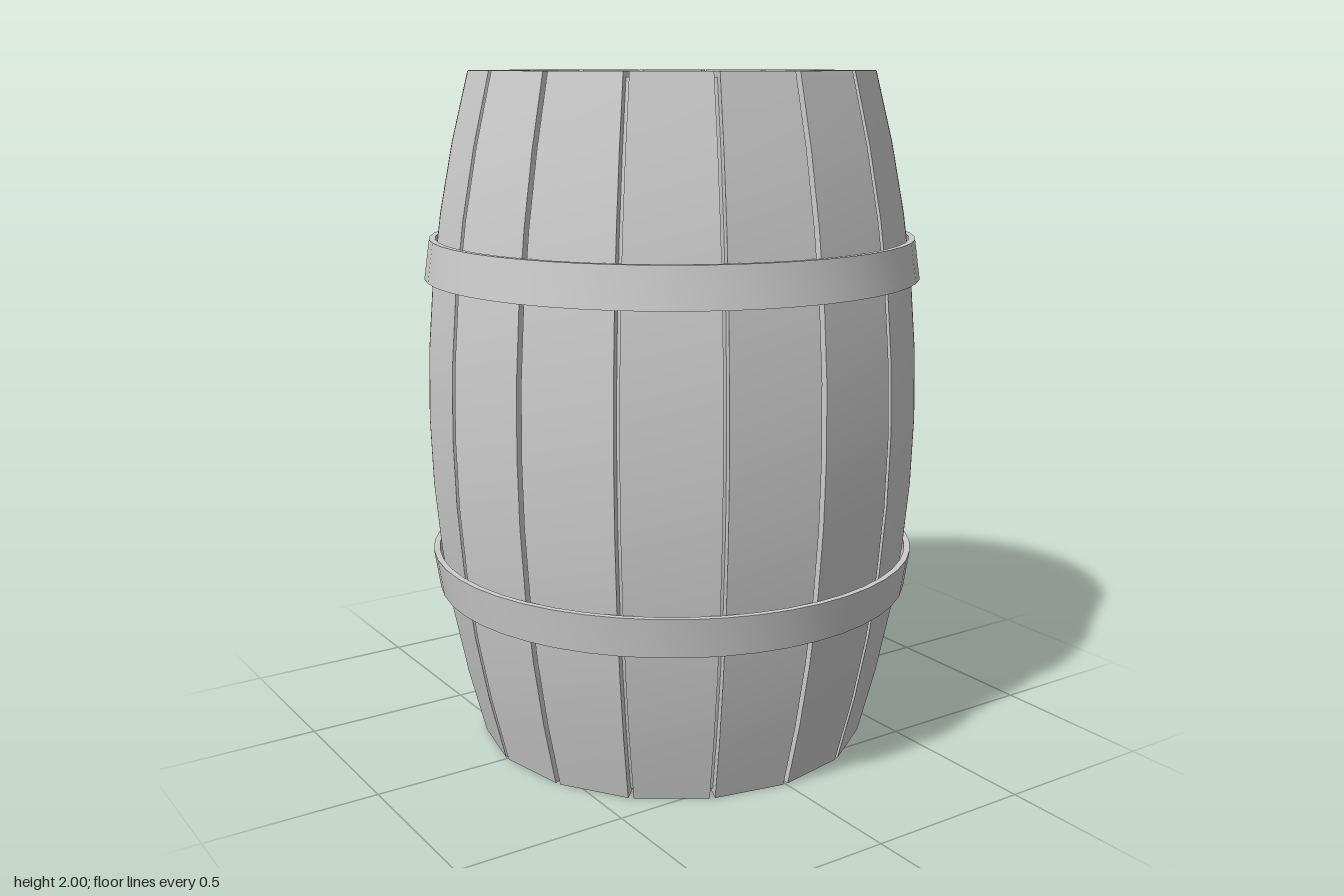
import * as THREE from 'three';
import { toCreasedNormals } from 'three/addons/utils/BufferGeometryUtils.js';

const STAVES = 16, ROWS = 10, HALF = Math.PI / STAVES;
const GAP = 0.008, THICK = 0.07;
const material = new THREE.MeshStandardMaterial({ color: 0xcccccc });

// Bulging outer radius of the barrel at height y
const radiusAt = (y) => 0.73 - 0.14 * (y - 1) ** 2;

// One curved plank facing +z: flat across, smooth along its length
function staveGeometry() {
  const section = (y) => {
    const corner = (r, side) => [side * (r * Math.sin(HALF) - GAP), y, r * Math.cos(HALF)];
    const ro = radiusAt(y), ri = ro - THICK;
    return [corner(ro, -1), corner(ro, 1), corner(ri, 1), corner(ri, -1)];
  };
  const rows = Array.from({ length: ROWS + 1 }, (_, i) => section((2 * i) / ROWS));
  const positions = [], index = [];
  // Four long faces, each with its own vertices
  for (let k = 0; k < 4; k++) {
    const base = positions.length / 3;
    rows.forEach((row) => positions.push(...row[k], ...row[(k + 1) % 4]));
    for (let i = 0; i < ROWS; i++) {
      const a = base + i * 2;
      index.push(a, a + 1, a + 3, a, a + 3, a + 2);
    }
  }
  // End caps
  const top = positions.length / 3;
  rows[ROWS].forEach((p) => positions.push(...p));
  rows[0].forEach((p) => positions.push(...p));
  index.push(top, top + 1, top + 2, top, top + 2, top + 3);
  index.push(top + 4, top + 6, top + 5, top + 4, top + 7, top + 6);

  const geometry = new THREE.BufferGeometry();
  geometry.setAttribute('position', new THREE.Float32BufferAttribute(positions, 3));
  geometry.setIndex(index);
  geometry.computeVertexNormals();
  return geometry;
}

// Thin tapered band; the wide edge faces the middle of the barrel
function hoopGeometry() {
  const profile = [[0.73, 1.41], [0.713, 1.525], [0.695, 1.525], [0.712, 1.41], [0.73, 1.41]];
  const points = profile.map(([r, y]) => new THREE.Vector2(r, y - 1));
  return toCreasedNormals(new THREE.LatheGeometry(points, 48), 0.6);
}

export function createModel() {
  const barrel = new THREE.Group();
  barrel.name = 'barrel';
  const add = (name, geometry, mat = material) => {
    const mesh = new THREE.Mesh(geometry, mat);
    mesh.name = name;
    barrel.add(mesh);
    return mesh;
  };

  // Ring of staves, with a seam on each axis
  const stave = staveGeometry();
  for (let i = 0; i < STAVES; i++) {
    add('stave', stave).rotation.y = HALF * (2 * i + 1);
  }

  // Thin lining that closes the seams between the staves
  const lining = [];
  for (let i = 0; i <= ROWS; i++) {
    const y = 0.015 + (1.97 * i) / ROWS;
    lining.push(new THREE.Vector2(radiusAt(y) - THICK / 2, y));
  }
  add('seamLining', new THREE.LatheGeometry(lining, STAVES),
    new THREE.MeshStandardMaterial({ color: 0xcccccc, side: THREE.DoubleSide }));

  // Bottom board, set slightly above the stave ends
  add('bottomBoard', new THREE.CylinderGeometry(0.54, 0.535, 0.04, STAVES)).position.y = 0.04;

  // Upper hoop and its upside-down twin below
  const hoop = hoopGeometry();
  add('upperHoop', hoop).position.y = 1;
  const lower = add('lowerHoop', hoop);
  lower.position.y = 1;
  lower.rotation.x = Math.PI;

  return barrel;
}
